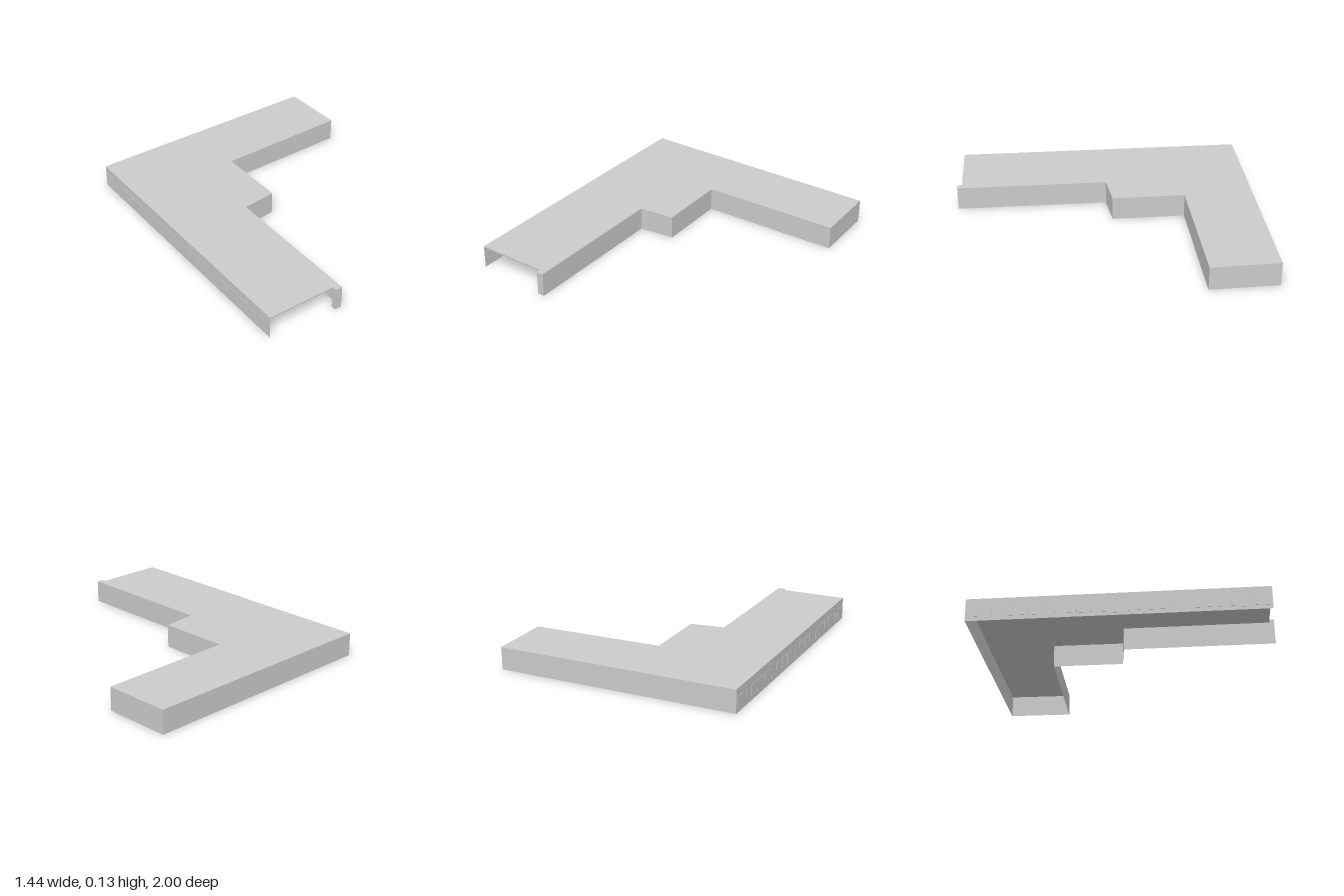
import * as THREE from 'three';

const HEIGHT = 0.13;
const LIP = 0.008;

// Footprint corners as [x, z], running so that walls face outwards
const OUTLINE = [
  [-0.724, -0.524], [-0.165, 0.998], [0.205, 0.862], [0.216, 0.886], [0.252, 0.873],
  [-0.036, 0.085], [0.142, -0.004], [0.001, -0.38], [0.72, -0.656], [0.585, -1.0],
];
const WALL_NAMES = [
  'longWindowWall', 'openEndLip', 'postInnerSide', 'postEnd', 'frontWingWall',
  'porchFrontWall', 'porchSideWall', 'sideWingFrontWall', 'sideWingEndWall', 'backWall',
];

export function createModel() {
  const model = new THREE.Group();
  model.name = 'angledBuilding';
  const material = new THREE.MeshStandardMaterial({
    color: 0xcccccc, flatShading: true, side: THREE.DoubleSide,
  });

  const add = (name, geometry, parent = model) => {
    const mesh = new THREE.Mesh(geometry, material);
    mesh.name = name;
    parent.add(mesh);
    return mesh;
  };

  // Flat roof
  const roofShape = new THREE.Shape(OUTLINE.map(([x, z]) => new THREE.Vector2(x, -z)));
  add('roof', new THREE.ShapeGeometry(roofShape).rotateX(-Math.PI / 2)).position.y = HEIGHT;

  // Thin walls around the footprint; the open end only has a narrow lip under the roof
  OUTLINE.forEach(([x0, z0], i) => {
    const [x1, z1] = OUTLINE[(i + 1) % OUTLINE.length];
    const h = WALL_NAMES[i] === 'openEndLip' ? LIP : HEIGHT;
    const wall = add(WALL_NAMES[i], new THREE.PlaneGeometry(Math.hypot(x1 - x0, z1 - z0), h));
    wall.position.set((x0 + x1) / 2, HEIGHT - h / 2, (z0 + z1) / 2);
    wall.rotation.y = Math.atan2(z0 - z1, x1 - x0);
  });

  // Windows and narrow panels along the long wall
  const [start, end] = OUTLINE;
  const dx = end[0] - start[0], dz = end[1] - start[1];
  const openings = new THREE.Group();
  openings.name = 'wallOpenings';
  model.add(openings);
  const panel = (name, x, y, width, height) => {
    const t = (x - start[0]) / dx;
    const mesh = add(name, new THREE.BoxGeometry(width, height, 0.004), openings);
    mesh.position.set(x, y, start[1] + t * dz);
    mesh.rotation.y = Math.atan2(-dz, dx);
  };
  const period = 0.116;
  for (let g = 0; g < 5; g++) {
    const x = -0.706 + g * period;
    panel('window', x, 0.055, 0.07, 0.063);
    panel('narrowPanel', x + 0.027, 0.044, 0.023, 0.058);
    if (g < 4) {
      panel('window', x + 0.06, 0.055, 0.07, 0.063);
      panel('window', x + 0.088, 0.055, 0.07, 0.063);
    } else {
      panel('window', x + 0.058, 0.055, 0.07, 0.063);
    }
  }
  return model;
}
